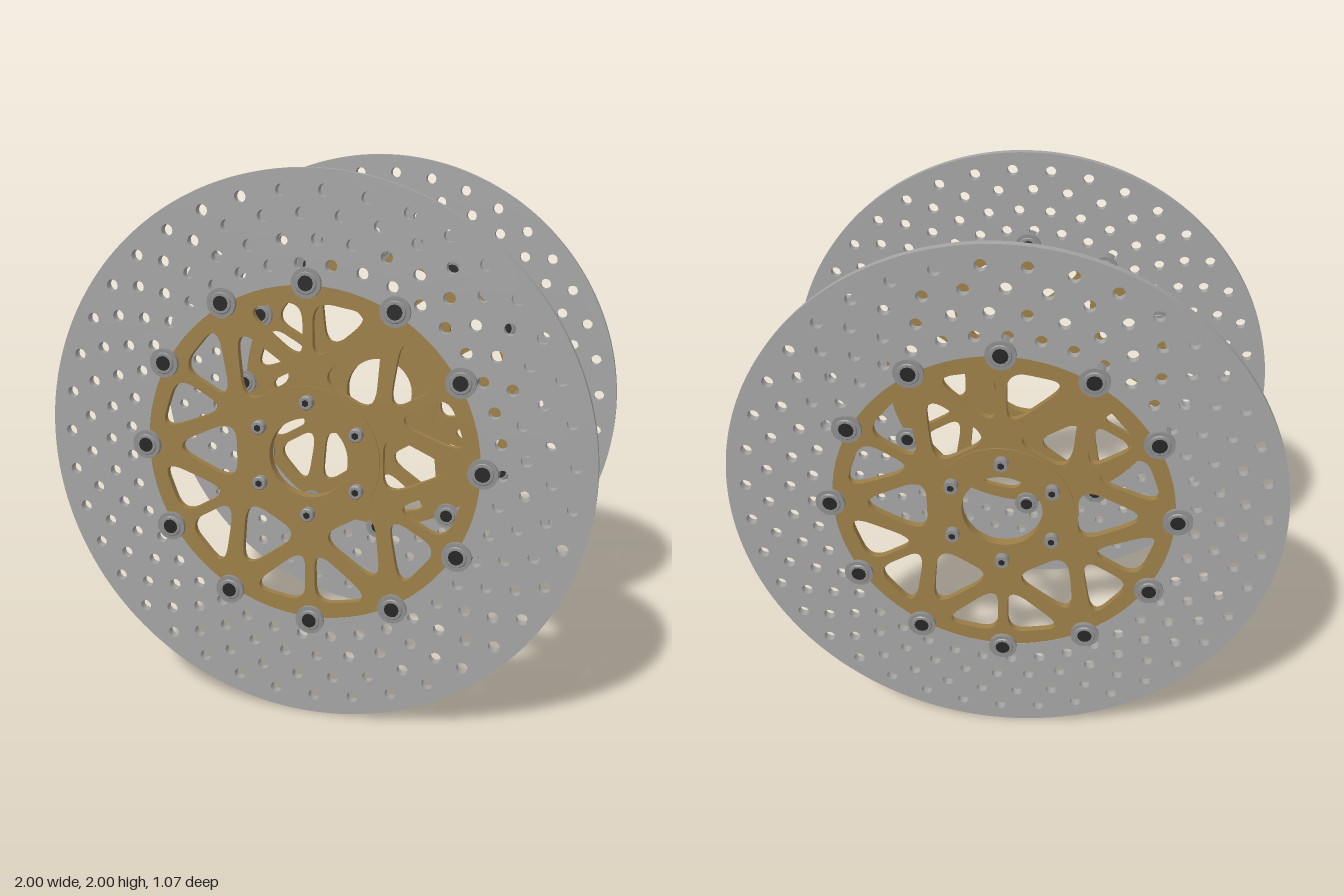
import * as THREE from 'three';
import { toCreasedNormals } from 'three/addons/utils/BufferGeometryUtils.js';

const TAU = Math.PI * 2;
const V = (x, y) => new THREE.Vector2(x, y);
const polar = (r, a) => V(r * Math.cos(a), r * Math.sin(a));
const deg = THREE.MathUtils.degToRad;

const mat = (name, color) => Object.assign(new THREE.MeshStandardMaterial({ color }), { name });

// Circle as a list of points around a centre
function circle(r, n, c = V(0, 0)) {
  return Array.from({ length: n }, (_, i) => polar(r, (i / n) * TAU).add(c));
}

// Polygon with softly rounded corners, as a list of points
function rounded(corners, f = 0.35, steps = 8) {
  const out = [];
  corners.forEach((p, i) => {
    const prev = corners[(i + corners.length - 1) % corners.length];
    const next = corners[(i + 1) % corners.length];
    const curve = new THREE.QuadraticBezierCurve(p.clone().lerp(prev, f), p, p.clone().lerp(next, f));
    out.push(...curve.getPoints(steps));
  });
  return out;
}

// Flat plate with holes, centred on z = 0
function plate(outline, holes, depth) {
  const shape = new THREE.Shape(outline);
  shape.holes = holes.map((pts) => new THREE.Path(pts));
  const g = new THREE.ExtrudeGeometry(shape, { depth, bevelEnabled: false });
  g.translate(0, 0, -depth / 2);
  return toCreasedNormals(g, 0.6);
}

// Solid turned about the z axis from [radius, z] pairs
function turned(profile, n = 28) {
  const g = new THREE.LatheGeometry(profile.map(([r, z]) => V(r, z)), n);
  g.rotateX(Math.PI / 2);
  return toCreasedNormals(g, 0.5);
}

export function createModel() {
  const steel = mat('rotor steel', 0xa4a4a4);
  const gold = mat('gold carrier', 0x9c7f48);
  const grey = mat('fastener grey', 0x8e8e8e);
  const dark = mat('dark socket', 0x262626);

  // Drilled friction ring: four rows of holes swept into curved lines
  const drilled = [circle(0.612, 120)];
  const rows = [[0.93, 86.1], [0.852, 81.9], [0.767, 78], [0.685, 73.5]];
  for (const [r, start] of rows) {
    for (let i = 0; i < 39; i++) {
      drilled.push(circle(0.021, 14, polar(r, deg(start) + (i / 39) * TAU)));
    }
  }
  const rotorGeo = plate(circle(1, 160), drilled, 0.03);

  // Spoked carrier: six inner windows and six mirrored pairs of outer windows
  const windows = [circle(0.145, 64)];
  const inner = rounded([V(0.27, -0.12), V(0.53, 0), V(0.27, 0.12)]);
  const outer = rounded([V(0.018, 0.56), V(0.235, 0.52), V(0.018, 0.34)]);
  const origin = V(0, 0);
  for (let i = 0; i < 6; i++) {
    const a = (i / 6) * TAU;
    windows.push(inner.map((p) => p.clone().rotateAround(origin, a)));
    for (const m of [1, -1]) {
      windows.push(outer.map((p) => V(p.x * m, p.y).rotateAround(origin, a)));
    }
  }
  const carrierGeo = plate(circle(0.612, 120), windows, 0.026);
  const hubGeo = plate(circle(0.26, 64), [circle(0.145, 64)], 0.037);

  // Fasteners
  const bobbinGeo = turned([[0, -0.031], [0.036, -0.031], [0.039, -0.027], [0.053, -0.027],
    [0.053, 0.027], [0.039, 0.027], [0.036, 0.031], [0, 0.031]]);
  const bobbinSocketGeo = turned([[0, -0.032], [0.027, -0.032], [0.027, 0.032], [0, 0.032]], 12);
  const boltGeo = turned([[0, -0.02], [0.025, -0.02], [0.025, 0.017], [0.022, 0.02], [0, 0.02]], 20);
  const boltSocketGeo = turned([[0, -0.0205], [0.013, -0.0205], [0.013, 0.0205], [0, 0.0205]], 6);

  const add = (parent, name, geo, material, x = 0, y = 0, z = 0) => {
    const mesh = new THREE.Mesh(geo, material);
    mesh.name = name;
    mesh.position.set(x, y, z);
    parent.add(mesh);
  };

  // One complete disc; side is the direction its bolts face along z
  function disc(side) {
    const g = new THREE.Group();
    g.name = side > 0 ? 'frontDisc' : 'rearDisc';
    add(g, 'rotor', rotorGeo, steel);
    add(g, 'carrier', carrierGeo, gold);
    add(g, 'hub', hubGeo, gold);
    for (let i = 0; i < 12; i++) {
      const p = polar(0.62, (i / 12) * TAU);
      add(g, 'bobbin', bobbinGeo, grey, p.x, p.y);
      add(g, 'bobbinSocket', bobbinSocketGeo, dark, p.x, p.y);
    }
    for (let i = 0; i < 6; i++) {
      const p = polar(0.206, ((i + 0.5) / 6) * TAU);
      add(g, 'bolt', boltGeo, grey, p.x, p.y, side * 0.026);
      add(g, 'boltSocket', boltSocketGeo, dark, p.x, p.y, side * 0.026);
    }
    g.position.set(0, 1, side * 0.489);
    return g;
  }

  const model = new THREE.Group();
  model.name = 'brakeDiscPair';
  model.add(disc(1), disc(-1));
  return model;
}
